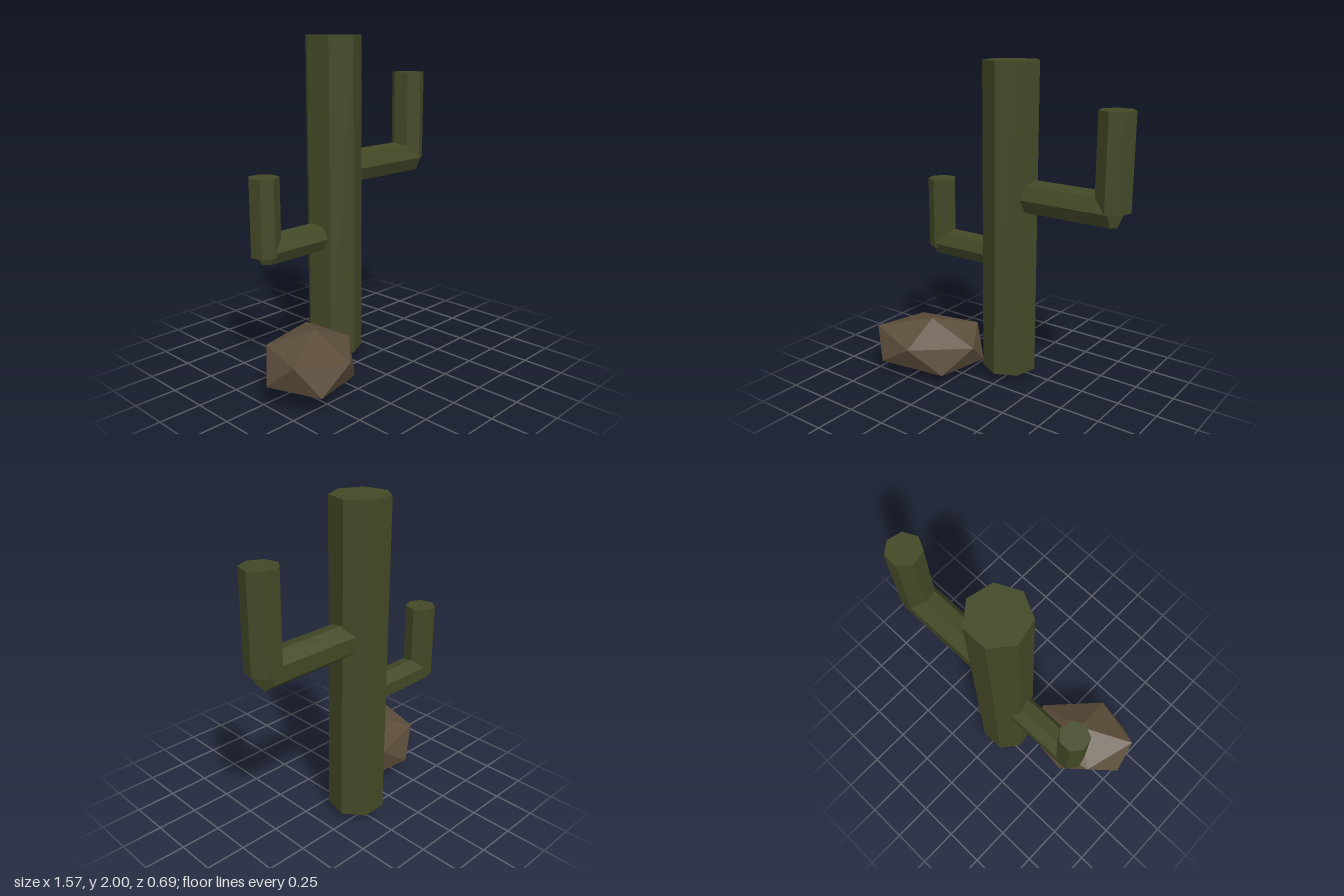
import * as THREE from 'three';

const green = new THREE.MeshStandardMaterial({ color: 0x434826, flatShading: true });
green.name = 'cactus green';
const brown = new THREE.MeshStandardMaterial({ color: 0x5c4d3a, flatShading: true });
brown.name = 'rock brown';

const AXIS_X = -0.007, AXIS_Z = -0.192;

// Seven-sided upright stem between two heights
function stem(name, r, x, y0, y1) {
  const mesh = new THREE.Mesh(new THREE.CylinderGeometry(r, r, y1 - y0, 7), green);
  mesh.name = name;
  mesh.position.set(x, (y0 + y1) / 2, AXIS_Z);
  return mesh;
}

// Arm: a horizontal branch out of the trunk, then an upright tip
function arm(name, r, branchEnd, branchY, tipX, tipY0, tipY1) {
  const group = new THREE.Group();
  group.name = name;
  const geo = new THREE.CylinderGeometry(r, r, Math.abs(branchEnd), 7).rotateZ(Math.PI / 2);
  const branch = new THREE.Mesh(geo, green);
  branch.name = name + 'Branch';
  branch.position.set(branchEnd / 2, branchY, AXIS_Z);
  group.add(branch, stem(name + 'Tip', r, tipX, tipY0, tipY1));
  return group;
}

// Rock: top point, two staggered rings of five, bottom point
function rock() {
  const top = [-0.43, 0.372, 0.08], bottom = [-0.48, 0.0, 0.06];
  const upper = [[-0.745, 0.3, 0.255], [-0.41, 0.25, 0.345], [-0.12, 0.23, 0.05], [-0.26, 0.295, -0.18], [-0.65, 0.3, -0.085]];
  const lower = [[-0.63, 0.115, 0.345], [-0.245, 0.07, 0.215], [-0.15, 0.09, -0.1], [-0.49, 0.13, -0.18], [-0.79, 0.15, 0.08]];
  const points = [];
  for (let i = 0; i < 5; i++) {
    const j = (i + 1) % 5;
    points.push(top, upper[i], upper[j]);
    points.push(upper[i], lower[i], upper[j]);
    points.push(lower[i], lower[j], upper[j]);
    points.push(bottom, lower[j], lower[i]);
  }
  const geo = new THREE.BufferGeometry();
  geo.setAttribute('position', new THREE.Float32BufferAttribute(points.flat(), 3));
  geo.computeVertexNormals();
  const mesh = new THREE.Mesh(geo, brown);
  mesh.name = 'rock';
  return mesh;
}

export function createModel() {
  const model = new THREE.Group();
  model.name = 'cactusWithRock';
  model.add(
    stem('trunk', 0.172, AXIS_X, 0.06, 2),
    arm('leftArm', 0.105, 0.702, 1.204, 0.682, 1.204, 1.763),
    arm('rightArm', 0.09, -0.56, 0.808, -0.55, 0.78, 1.233),
    rock()
  );
  return model;
}
